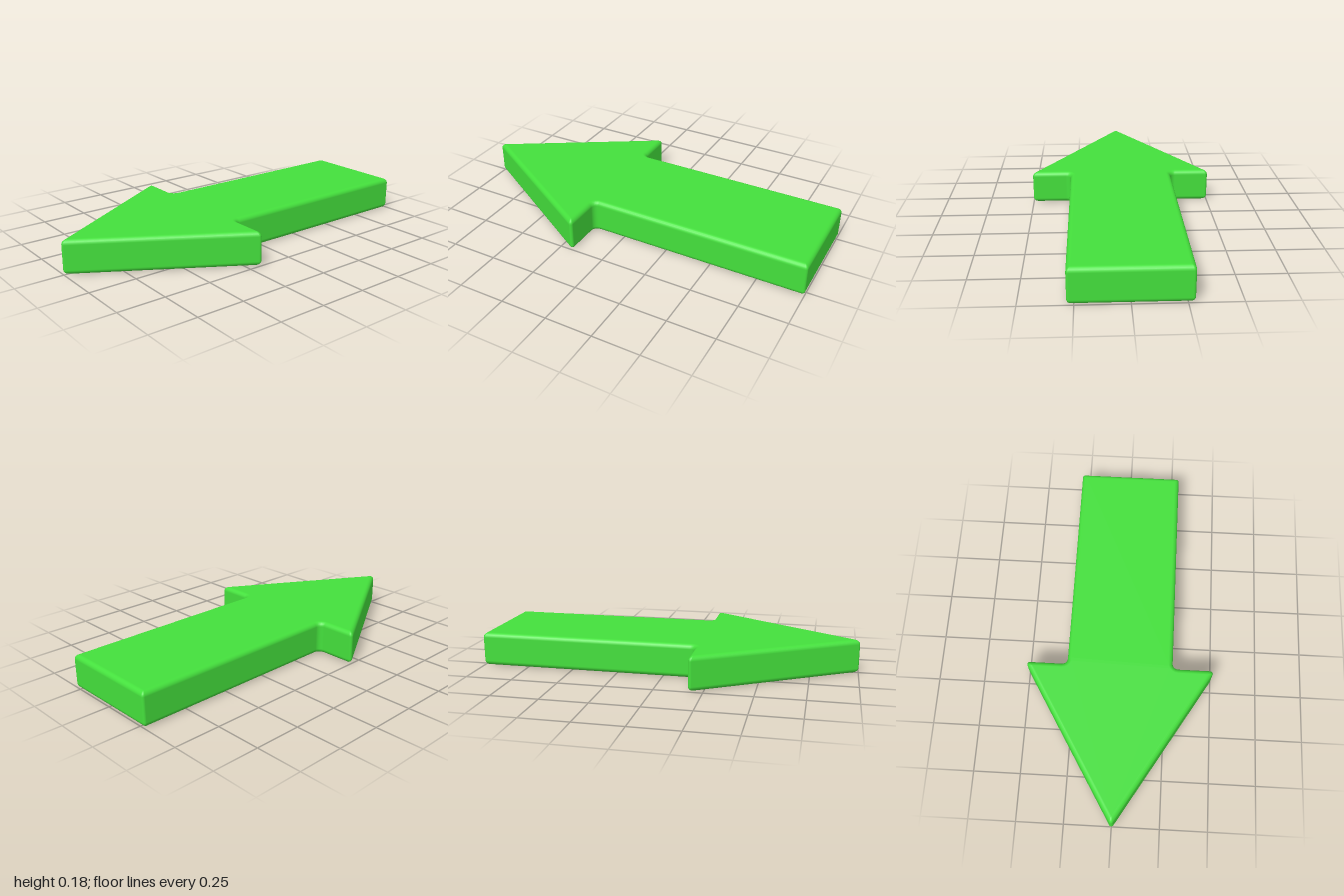
import * as THREE from 'three';

const HEIGHT = 0.18;
const BEVEL = 0.025;   // rounding of the top and bottom edges
const FILLET = 0.055;  // rounding of the inner corners, measured at the flat faces
const ARC = 5;         // segments per rounded corner or edge

// Half outline of the flat face as (x, z), from the tip to the tail
const HALF = [[0, 0.964], [0.465, 0.2], [0.258, 0.2], [0.258, -0.975]];

// Per outline corner: the fan of outward normals, the miter and whether it bulges out
function outlineCorners() {
  const mirrored = HALF.slice(1).reverse().map(([x, z]) => [-x, z]);
  const pts = [...HALF, ...mirrored].map(([x, z]) => new THREE.Vector2(x, z));
  const n = pts.length;
  const normals = pts.map((p, i) => {
    const d = pts[(i + 1) % n].clone().sub(p).normalize();
    return new THREE.Vector2(-d.y, d.x);
  });
  return pts.map((point, i) => {
    const n1 = normals[(i + n - 1) % n], n2 = normals[i];
    const miter = n1.clone().add(n2).divideScalar(1 + n1.dot(n2));
    const turn = Math.atan2(n1.cross(n2), n1.dot(n2));
    const fan = [];
    for (let k = 0; k <= ARC; k++) {
      fan.push(n1.clone().rotateAround(new THREE.Vector2(), turn * k / ARC));
    }
    return { point, miter, fan, convex: turn < 0 };
  });
}

// Outline pushed outwards by r, with rounded corners
function ring(corners, r) {
  return corners.flatMap(({ point, miter, fan, convex }) => {
    const q = convex ? r * 0.5 : r - FILLET;
    return fan.map((dir) => ({
      p: point.clone().addScaledVector(miter, r - q).addScaledVector(dir, q),
      dir,
    }));
  });
}

function arrowGeometry() {
  const corners = outlineCorners();
  const positions = [], normals = [], index = [];

  // Stack of rings: rounded lower edge, straight wall, rounded upper edge
  const levels = [];
  for (let half = 0; half < 2; half++) {
    for (let k = 0; k <= ARC; k++) {
      const a = (half + k / ARC) * Math.PI / 2;
      const centre = half ? HEIGHT - BEVEL : BEVEL;
      levels.push({ s: Math.sin(a), c: Math.cos(a), y: centre - BEVEL * Math.cos(a) });
    }
  }
  for (const { s, c, y } of levels) {
    for (const { p, dir } of ring(corners, BEVEL * s)) {
      positions.push(p.x, y, p.y);
      normals.push(dir.x * s, -c, dir.y * s);
    }
  }

  // Wall faces between neighbouring rings
  const count = corners.length * (ARC + 1);
  for (let i = 0; i < levels.length - 1; i++) {
    for (let j = 0; j < count; j++) {
      const a = i * count + j, b = i * count + (j + 1) % count;
      index.push(a, b, b + count, a, b + count, a + count);
    }
  }

  // Flat bottom and top faces
  const contour = ring(corners, 0).map(({ p }) => new THREE.Vector2(p.x, -p.y));
  const top = (levels.length - 1) * count;
  for (const [a, b, c] of THREE.ShapeUtils.triangulateShape(contour, [])) {
    index.push(a, c, b, top + a, top + b, top + c);
  }

  const geometry = new THREE.BufferGeometry();
  geometry.setAttribute('position', new THREE.Float32BufferAttribute(positions, 3));
  geometry.setAttribute('normal', new THREE.Float32BufferAttribute(normals, 3));
  geometry.setIndex(index);
  return geometry;
}

export function createModel() {
  const group = new THREE.Group();
  group.name = 'arrow';
  const green = new THREE.MeshStandardMaterial({ color: 0x44e03c });
  const body = new THREE.Mesh(arrowGeometry(), green);
  body.name = 'arrowBody';
  group.add(body);
  return group;
}
